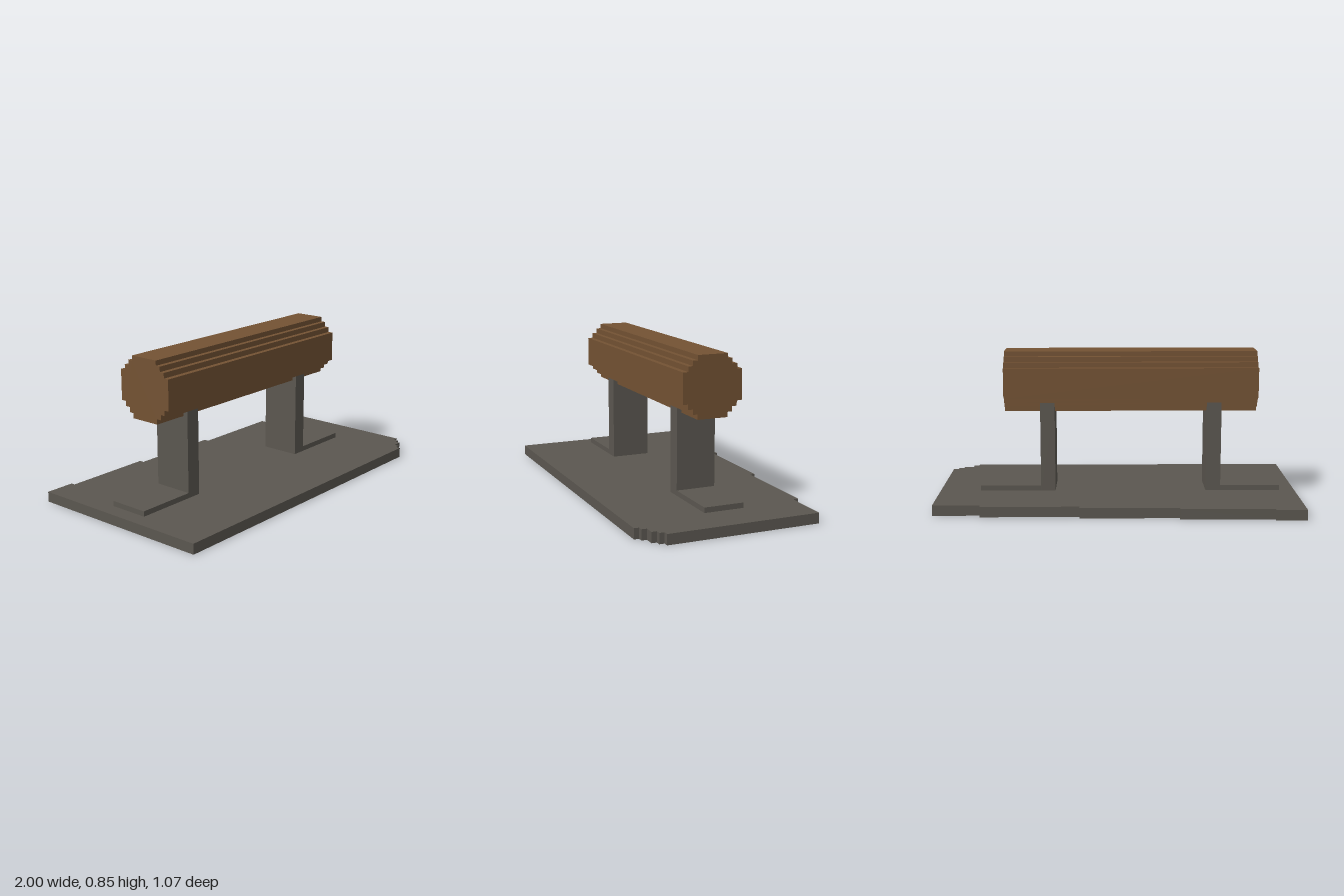
import * as THREE from 'three';

export function createModel() {
  const wood = new THREE.MeshStandardMaterial({ color: 0x735233 });
  wood.name = 'brown wood';
  const metal = new THREE.MeshStandardMaterial({ color: 0x5b5750 });
  metal.name = 'grey metal';

  const model = new THREE.Group();
  model.name = 'logOnStand';

  const add = (name, geometry, material) => {
    const mesh = new THREE.Mesh(geometry, material);
    mesh.name = name;
    model.add(mesh);
  };
  const box = (name, x0, x1, y0, y1, z0, z1) => {
    const g = new THREE.BoxGeometry(x1 - x0, y1 - y0, z1 - z0);
    g.translate((x0 + x1) / 2, (y0 + y1) / 2, (z0 + z1) / 2);
    add(name, g, metal);
  };
  const extrude = (points, depth) => new THREE.ExtrudeGeometry(
    new THREE.Shape(points.map(([x, y]) => new THREE.Vector2(x, y))),
    { depth, bevelEnabled: false });

  // Base plate: outline in (x, z), stepped back edge and one notched front corner
  const outline = [
    [-1, 0.533], [0.855, 0.533], [0.855, 0.506], [0.885, 0.506], [0.885, 0.477],
    [0.941, 0.477], [0.941, 0.449], [0.97, 0.449], [0.97, 0.421], [1, 0.421],
    [1, -0.423], [0.743, -0.423], [0.743, -0.454], [0.209, -0.454], [0.209, -0.482],
    [-0.327, -0.482], [-0.327, -0.509], [-0.833, -0.509], [-0.833, -0.533], [-1, -0.533],
  ];
  const base = extrude(outline.map(([x, z]) => [x, -z]), 0.057);
  base.rotateX(-Math.PI / 2);
  add('basePlate', base, metal);

  // Two L-shaped brackets: upright leg plus a foot pointing outwards
  box('rightLeg', -0.58, -0.497, 0.057, 0.56, -0.111, 0.113);
  box('rightFoot', -0.914, -0.58, 0.057, 0.086, -0.111, 0.113);
  box('leftLeg', 0.352, 0.433, 0.057, 0.56, -0.111, 0.113);
  box('leftFoot', 0.433, 0.772, 0.057, 0.086, -0.111, 0.113);

  // Log: stepped round section, one [half width, lower y, upper y] per layer
  const layers = [
    [0.085, 0.51, 0.538], [0.112, 0.538, 0.566], [0.139, 0.566, 0.594],
    [0.168, 0.594, 0.761], [0.139, 0.761, 0.79], [0.112, 0.79, 0.818], [0.085, 0.818, 0.845],
  ];
  const side = layers.flatMap(([w, y0, y1]) => [[w, y0], [w, y1]]);
  const section = [...side, ...side.map(([w, y]) => [-w, y]).reverse()];
  const log = extrude(section, 1.408);
  log.rotateY(Math.PI / 2);
  log.translate(-0.777, 0, 0.002);
  add('log', log, wood);

  return model;
}
